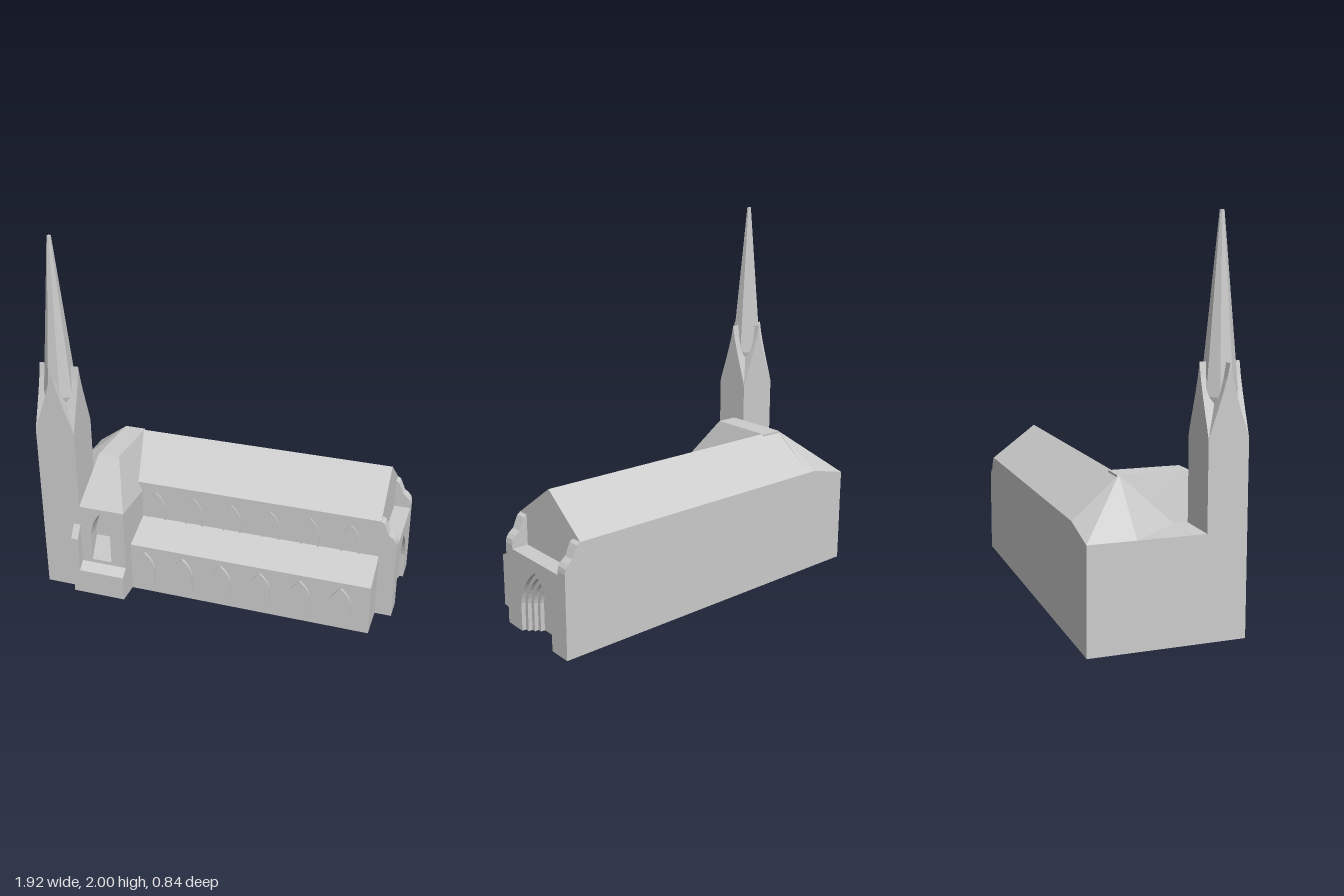
import * as THREE from 'three';
import { ConvexGeometry } from 'three/addons/geometries/ConvexGeometry.js';

const mat = new THREE.MeshStandardMaterial({ color: 0xcccccc, flatShading: true });

export function createModel() {
  const root = new THREE.Group();
  const add = (name, geo, parent = root) => {
    const m = new THREE.Mesh(geo, mat);
    m.name = name;
    parent.add(m);
    return m;
  };
  const V = (p) => p.map(([x, y]) => new THREE.Vector2(x, y));
  const box = (name, x0, x1, y0, y1, z0, z1) => {
    const g = new THREE.BoxGeometry(x1 - x0, y1 - y0, z1 - z0);
    add(name, g.translate((x0 + x1) / 2, (y0 + y1) / 2, (z0 + z1) / 2));
  };
  const hull = (name, pts) => add(name, new ConvexGeometry(pts.map((p) => new THREE.Vector3(...p))));
  const extrude = (shape, depth) => new THREE.ExtrudeGeometry(shape, { depth, bevelEnabled: false });
  // Section of (z, y) points swept from x0 to x1
  const prismX = (name, pts, x0, x1) => {
    const shape = new THREE.Shape(V(pts.map(([z, y]) => [-z, y])));
    return add(name, extrude(shape, x1 - x0).rotateY(Math.PI / 2).translate(x0, 0, 0));
  };
  // Pointed arch outline, from left foot over the apex to right foot
  const arch = (hw, y0, ys, ya, cx = 0) => {
    const p = new THREE.Path();
    p.moveTo(cx - hw, y0);
    p.lineTo(cx - hw, ys);
    p.quadraticCurveTo(cx - hw * 0.85, ys + (ya - ys) * 0.6, cx, ya);
    p.quadraticCurveTo(cx + hw * 0.85, ys + (ya - ys) * 0.6, cx + hw, ys);
    p.lineTo(cx + hw, y0);
    return p.getPoints(8);
  };

  // Nave with gabled roof, and lean-to aisle
  prismX('nave', [[-0.42, 0], [0.1, 0], [0.1, 0.58], [-0.165, 0.77], [-0.42, 0.58]], -0.69, 0.87);
  prismX('aisle', [[0.05, 0], [0.29, 0], [0.29, 0.285], [0.1, 0.365], [0.05, 0.365]], -0.48, 0.87);

  // West block with its sloping hip
  box('westBlock', -0.965, -0.69, 0, 0.525, -0.42, 0.2);
  hull('westHip', [
    [-0.965, 0.525, -0.42], [-0.965, 0.525, -0.18], [-0.74, 0.58, -0.42], [-0.69, 0.77, -0.17],
    [-0.74, 0.525, 0.09], [-0.69, 0.58, -0.42], [-0.69, 0.525, 0.09],
    [-0.965, 0.4, -0.42], [-0.965, 0.4, -0.18], [-0.69, 0.4, -0.42], [-0.69, 0.4, 0.09],
  ]);

  // Transept: body, front wall with a deep window, flat-topped hipped roof
  box('transept', -0.74, -0.48, 0, 0.525, -0.1, 0.3);
  const front = new THREE.Shape(V([[-0.74, 0], [-0.48, 0], [-0.48, 0.525], [-0.74, 0.525]]));
  front.holes.push(new THREE.Path(arch(0.057, 0.2, 0.36, 0.495, -0.622)));
  add('transeptFrontWall', extrude(front, 0.07).translate(0, 0, 0.3));
  prismX('transeptSill', [[0.3, 0.19], [0.37, 0.19], [0.37, 0.2], [0.3, 0.32]], -0.68, -0.564);
  hull('transeptRoof', [
    [-0.74, 0.525, -0.18], [-0.48, 0.525, -0.18], [-0.48, 0.525, 0.37], [-0.74, 0.525, 0.37],
    [-0.69, 0.77, -0.18], [-0.57, 0.77, -0.18], [-0.57, 0.77, 0.19], [-0.69, 0.77, 0.19],
  ]);
  prismX('transeptPlinth', [[0.3, 0], [0.415, 0], [0.415, 0.14], [0.37, 0.18], [0.3, 0.18]], -0.74, -0.48);
  prismX('transeptButtress', [[0.3, 0], [0.415, 0], [0.415, 0.34], [0.37, 0.41], [0.3, 0.41]], -0.78, -0.74);

  // Window frames along the aisle and the clerestory
  const frame = (name, cx, hw, y0, ys, ya, z, t, d) => {
    const s = new THREE.Shape(arch(hw, y0, ys, ya, cx));
    s.holes.push(new THREE.Path(arch(hw - t, y0 + t, ys, ya - t * 1.5, cx)));
    add(name, extrude(s, d).translate(0, 0, z));
  };
  for (let i = 0; i < 6; i++) {
    const cx = -0.395 + 0.222 * i;
    frame('aisleWindow', cx, 0.056, 0.065, 0.165, 0.255, 0.289, 0.013, 0.014);
    frame('clerestoryWindow', cx, 0.052, 0.34, 0.44, 0.53, 0.099, 0.009, 0.008);
  }

  // East entrance: stepped pointed portal between curved corner piers
  const steps = [[0.068, 0.275], [0.09, 0.305], [0.112, 0.333], [0.135, 0.36]];
  steps.forEach(([hw, ya], i) => {
    const s = new THREE.Shape([
      ...V([[-0.2, 0]]), ...arch(hw, 0, 0.15, ya), ...V([[0.2, 0], [0.2, 0.42], [-0.2, 0.42]]),
    ]);
    add('portalStep', extrude(s, 0.0225).rotateY(Math.PI / 2).translate(0.87 + i * 0.0225, 0, -0.16));
  });
  const pier = new THREE.Shape(V([
    [0.86, 0], [0.96, 0], [0.96, 0.44], [0.955, 0.465], [0.94, 0.485], [0.915, 0.505],
    [0.902, 0.535], [0.888, 0.568], [0.87, 0.58], [0.86, 0.58],
  ]));
  for (const z of [0.04, -0.42]) add('entrancePier', extrude(pier, 0.06).translate(0, 0, z));

  // Tower with crossed ogee gables and an octagonal spire
  const tower = new THREE.Group();
  tower.name = 'tower';
  tower.position.set(-0.853, 0, 0.266);
  root.add(tower);
  const hx = 0.112, hz = 0.102;
  add('towerShaft', new THREE.BoxGeometry(2 * hx, 0.96, 2 * hz).translate(0, 0.48, 0), tower);
  const ogee = (w) => {
    const half = [[1, 0.96], [0.82, 1.02], [0.6, 1.085], [0.35, 1.165], [0.14, 1.24]];
    return new THREE.Shape(V([
      ...half.map(([x, y]) => [-x * w, y]), [0, 1.31], ...half.reverse().map(([x, y]) => [x * w, y]),
    ].reverse()));
  };
  add('gableFrontBack', extrude(ogee(hx), 2 * hz).translate(0, 0, -hz), tower);
  add('gableSides', extrude(ogee(hz), 2 * hx).translate(0, 0, -hx).rotateY(Math.PI / 2), tower);
  add('spire', new THREE.CylinderGeometry(0.011, 0.089, 0.85, 8).rotateY(Math.PI / 8).translate(0, 1.575, 0), tower);
  add('spireFoot', new THREE.CylinderGeometry(0.089, 0.06, 0.11, 8).rotateY(Math.PI / 8).translate(0, 1.095, 0), tower);

  return root;
}
